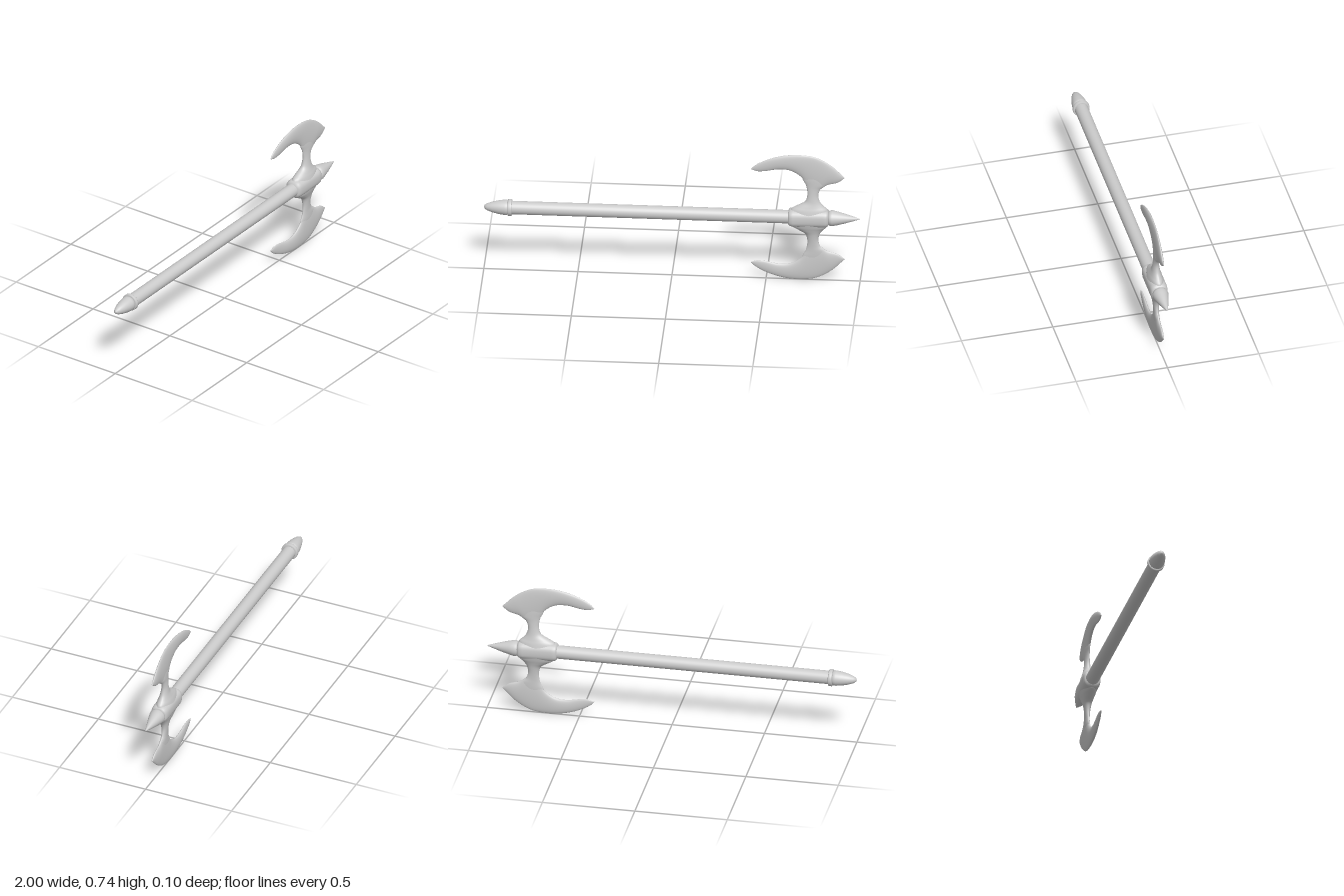
import * as THREE from 'three';

const steel = new THREE.MeshStandardMaterial({ color: 0xcccccc, side: THREE.DoubleSide });

function addMesh(parent, name, geometry) {
  const mesh = new THREE.Mesh(geometry, steel);
  mesh.name = name;
  parent.add(mesh);
  return mesh;
}

// Round part turned about the x axis; profile is [x, radius] from left to right
function turned(profile, sides = 32) {
  const geo = new THREE.LatheGeometry(profile.map(([x, r]) => new THREE.Vector2(r, x)), sides);
  return geo.rotateZ(-Math.PI / 2);
}

// Skin over oval sections [ax, ay, bx, by, halfDepth]; each spans a to b and bulges in z.
// power below 1 squares the section; steps above 1 smooths along the length.
function loft(sections, { steps = 1, power = 1, sides = 28 } = {}) {
  let rows = sections;
  if (steps > 1) {
    const curve = (f) => new THREE.CatmullRomCurve3(sections.map(f));
    const ca = curve((s) => new THREE.Vector3(s[0], s[1], s[4]));
    const cb = curve((s) => new THREE.Vector3(s[2], s[3], 0));
    const n = (sections.length - 1) * steps;
    rows = Array.from({ length: n + 1 }, (_, i) => {
      const a = ca.getPoint(i / n), b = cb.getPoint(i / n);
      return [a.x, a.y, b.x, b.y, a.z];
    });
  }
  const bend = (v) => Math.sign(v) * Math.abs(v) ** power;
  const pos = [], index = [];
  rows.forEach(([ax, ay, bx, by, h], i) => {
    for (let j = 0; j < sides; j++) {
      const t = (j / sides) * Math.PI * 2;
      const c = bend(Math.cos(t)) / 2;
      pos.push((ax + bx) / 2 + (ax - bx) * c, (ay + by) / 2 + (ay - by) * c, h * bend(Math.sin(t)));
      if (i === rows.length - 1) continue;
      const k = i * sides + j, k2 = i * sides + ((j + 1) % sides);
      index.push(k, k2, k + sides, k2, k2 + sides, k + sides);
    }
  });
  const geo = new THREE.BufferGeometry();
  geo.setAttribute('position', new THREE.Float32BufferAttribute(pos, 3));
  geo.setIndex(index);
  geo.computeVertexNormals();
  return geo;
}

// Crescent: outer edge point, inner edge point, half thickness
const crescent = [
  [0.42, 0.280, 0.422, 0.277, 0.002],
  [0.44, 0.301, 0.452, 0.268, 0.006],
  [0.49, 0.331, 0.495, 0.270, 0.009],
  [0.553, 0.355, 0.564, 0.283, 0.012],
  [0.617, 0.369, 0.628, 0.278, 0.013],
  [0.687, 0.372, 0.682, 0.246, 0.013],
  [0.757, 0.363, 0.725, 0.192, 0.013],
  [0.81, 0.339, 0.778, 0.168, 0.013],
  [0.858, 0.305, 0.826, 0.198, 0.012],
  [0.895, 0.268, 0.879, 0.214, 0.008],
  [0.917, 0.246, 0.916, 0.241, 0.002],
];

// Neck, from hub to crescent: height, left x, right x, half thickness
const neck = [
  [0.02, 0.622, 0.832, 0.045],
  [0.05, 0.634, 0.826, 0.037],
  [0.07, 0.666, 0.805, 0.030],
  [0.096, 0.707, 0.786, 0.022],
  [0.134, 0.719, 0.778, 0.016],
  [0.171, 0.717, 0.789, 0.013],
  [0.198, 0.710, 0.815, 0.013],
  [0.235, 0.692, 0.822, 0.012],
  [0.30, 0.69, 0.80, 0.006],
].map(([y, l, r, h]) => [l, y, r, y, h]);

export function createModel() {
  const axe = new THREE.Group();
  axe.name = 'doubleAxe';
  const body = new THREE.Group();
  body.name = 'axeBody';
  body.position.y = 0.373;
  axe.add(body);

  // Shaft with ring and bullet-shaped pommel
  addMesh(body, 'shaft', turned([[-0.87, 0.036], [0.65, 0.036]]));
  addMesh(body, 'pommelRing', turned([
    [-0.872, 0.034], [-0.872, 0.043], [-0.868, 0.046], [-0.854, 0.046], [-0.85, 0.043], [-0.85, 0.034],
  ]));
  addMesh(body, 'pommel', turned([
    [-1, 0], [-0.996, 0.010], [-0.982, 0.019], [-0.955, 0.029], [-0.92, 0.037],
    [-0.89, 0.041], [-0.878, 0.041], [-0.87, 0.036],
  ]));

  // Squared-off socket that carries both blades
  const hub = [
    [0.617, 0.030], [0.62, 0.040], [0.628, 0.046], [0.645, 0.049], [0.80, 0.049],
    [0.82, 0.047], [0.83, 0.042], [0.835, 0.030], [0.835, 0.0],
  ];
  addMesh(body, 'hub', loft(hub.map(([x, r]) => [x, r, x, -r, r * 0.98]), { power: 0.76 }));

  // Top spike
  addMesh(body, 'spike', turned([
    [0.825, 0], [0.828, 0.032], [0.838, 0.041], [0.852, 0.043], [0.875, 0.038],
    [0.917, 0.027], [0.96, 0.014], [0.992, 0.004], [1, 0],
  ]));

  // Two matching blades, the lower one turned half round the shaft
  const crescentGeo = loft(crescent, { steps: 6 });
  const neckGeo = loft(neck, { steps: 5 });
  ['upperBlade', 'lowerBlade'].forEach((name, i) => {
    const blade = new THREE.Group();
    blade.name = name;
    blade.rotation.x = i * Math.PI;
    addMesh(blade, 'crescent', crescentGeo);
    addMesh(blade, 'neck', neckGeo);
    body.add(blade);
  });

  return axe;
}
